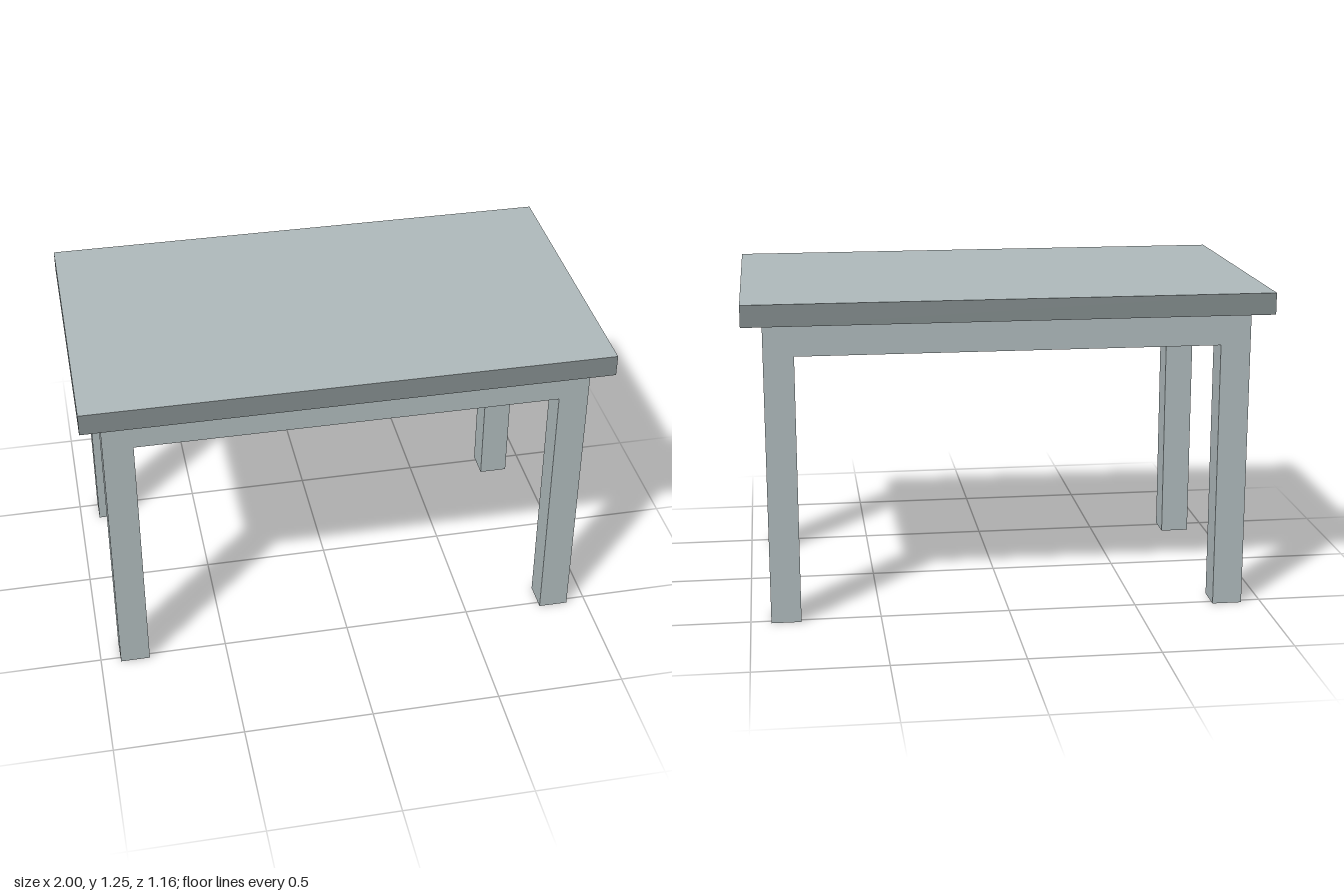
import * as THREE from 'three';

export function createModel() {
  const table = new THREE.Group();
  table.name = 'table';

  const light = new THREE.MeshStandardMaterial({ color: 0xafbabc });
  light.name = 'paleGrey';
  const dark = new THREE.MeshStandardMaterial({ color: 0x838c8d });
  dark.name = 'darkGrey';

  const height = 1.25, slabBottom = 1.167, apronBottom = 1.042;
  const outerX = 0.922, outerZ = 0.523, leg = 0.115, apron = 0.042;

  function box(name, w, h, d, x, y, z, material) {
    const mesh = new THREE.Mesh(new THREE.BoxGeometry(w, h, d), material);
    mesh.name = name;
    mesh.position.set(x, y, z);
    table.add(mesh);
  }

  // Tabletop: pale upper face, dark rim and underside
  box('tabletop', 2, height - slabBottom, 1.165, 0, (height + slabBottom) / 2, 0,
    [dark, dark, light, dark, dark, dark]);

  // Four square legs
  for (const [side, sx] of [['Left', 1], ['Right', -1]]) {
    for (const [end, sz] of [['front', 1], ['back', -1]]) {
      box(`${end}${side}Leg`, leg, slabBottom, leg,
        sx * (outerX - leg / 2), slabBottom / 2, sz * (outerZ - leg / 2), light);
    }
  }

  // Apron rails between the legs, flush with their outer faces
  const railH = slabBottom - apronBottom, railY = (slabBottom + apronBottom) / 2;
  for (const s of [1, -1]) {
    box(s > 0 ? 'frontApron' : 'backApron', 2 * (outerX - leg), railH, apron,
      0, railY, s * (outerZ - apron / 2), light);
    box(s > 0 ? 'leftApron' : 'rightApron', apron, railH, 2 * (outerZ - leg),
      s * (outerX - apron / 2), railY, 0, light);
  }

  return table;
}
